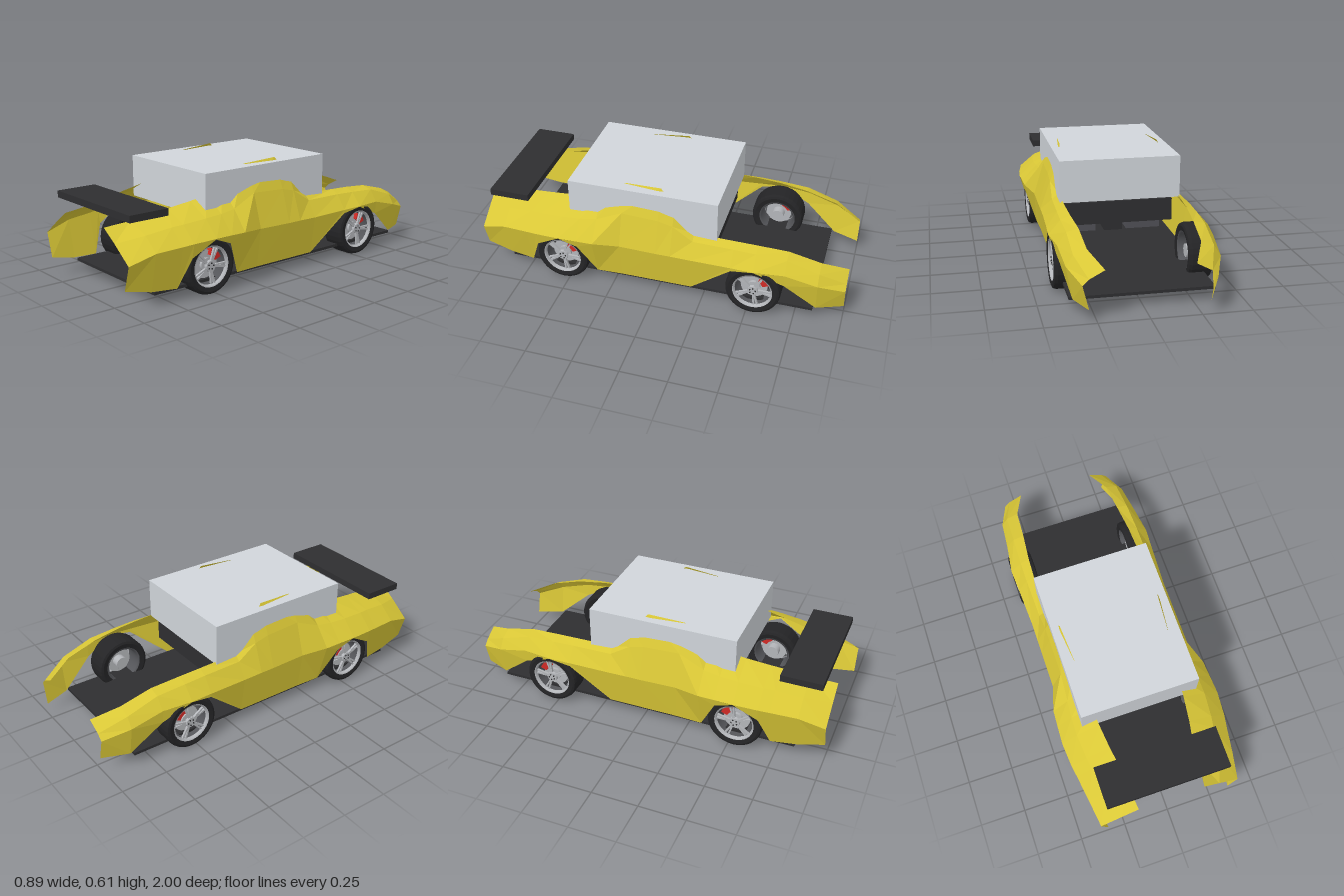
import * as THREE from 'three';

const mat = (color, flat = false, side = THREE.FrontSide) =>
  new THREE.MeshStandardMaterial({ color, flatShading: flat, side });
const M = {
  paint: mat(0xd9c736, true, THREE.DoubleSide),
  dark: mat(0x2e2e30),
  seat: mat(0x505056),
  cabin: mat(0xd0d5da),
  tyre: mat(0x242426, true),
  rim: mat(0xb4b6ba, false, THREE.DoubleSide),
  barrel: mat(0x55565a, false, THREE.DoubleSide),
  red: mat(0xd02a26),
};

function add(parent, name, geo, material, x = 0, y = 0, z = 0) {
  const m = new THREE.Mesh(geo, material);
  m.name = name;
  m.position.set(x, y, z);
  parent.add(m);
  return m;
}

// Box given by its limits on each axis
function block(parent, name, material, [x0, x1], [y0, y1], [z0, z1]) {
  return add(parent, name, new THREE.BoxGeometry(x1 - x0, y1 - y0, z1 - z0), material,
    (x0 + x1) / 2, (y0 + y1) / 2, (z0 + z1) / 2);
}

// Side panel sections: z, then x,y of the sill, ridge, shoulder and inner edge
const SECTIONS = [
  [1, .345, .11, .385, .24, .27, .325, .18, .385],
  [.86, .36, .08, .405, .28, .32, .35, .195, .397],
  [.72, .375, .07, .425, .29, .34, .37, .21, .42],
  [.66, .42, .22, .435, .295, .35, .375, .22, .43],
  [.53, .44, .295, .445, .3, .36, .385, .235, .45],
  [.43, .43, .255, .44, .298, .357, .39, .243, .468],
  [.34, .37, .07, .435, .295, .35, .4, .25, .49],
  [.2, .365, .07, .395, .28, .34, .46, .258, .6],
  [0, .365, .07, .395, .275, .34, .45, .272, .612],
  [-.08, .365, .07, .395, .275, .34, .43, .3, .52],
  [-.19, .365, .07, .395, .273, .345, .36, .31, .39],
  [-.41, .404, .26, .405, .28, .35, .36, .305, .382],
  [-.53, .411, .28, .412, .283, .35, .355, .3, .376],
  [-.69, .385, .21, .39, .28, .345, .345, .285, .36],
  [-.86, .345, .07, .375, .235, .34, .29, .275, .315],
  [-1, .29, .07, .32, .19, .29, .22, .215, .26],
];

function sidePanel(s) {
  const pos = [], idx = [];
  SECTIONS.forEach(([z, ...p], i) => {
    for (let k = 0; k < 4; k++) {
      pos.push(s * p[2 * k], p[2 * k + 1], z);
      if (!i || !k) continue;
      const d = i * 4 + k, c = d - 1, b = d - 4, a = d - 5;
      if (s > 0) idx.push(a, c, d, a, d, b);
      else idx.push(a, d, c, a, b, d);
    }
  });
  const g = new THREE.BufferGeometry();
  g.setAttribute('position', new THREE.Float32BufferAttribute(pos, 3));
  g.setIndex(idx);
  g.computeVertexNormals();
  return g;
}

const lathe = (pts, n) => new THREE.LatheGeometry(pts.map(p => new THREE.Vector2(...p)), n);

// Wheel with its outer face towards local +y, turned to face +x or -x
function wheel(s) {
  const w = new THREE.Group(), g = new THREE.Group();
  w.name = 'wheel';
  add(g, 'tyre', lathe([[.104, -.06], [.13, -.065], [.142, -.06], [.147, -.045],
    [.147, .045], [.142, .06], [.13, .065], [.104, .06], [.104, -.06]], 32), M.tyre);
  add(g, 'rimBarrel', lathe([[.096, .045], [.092, 0], [.092, -.055], [.106, -.06]], 32), M.barrel);
  add(g, 'rimLip', lathe([[.096, .04], [.098, .058], [.107, .062]], 32), M.rim);
  add(g, 'brakeDisc', new THREE.CylinderGeometry(.072, .072, .01, 28), M.rim, 0, .005, 0);
  add(g, 'axleHub', new THREE.CylinderGeometry(.035, .035, .07, 16), M.rim, 0, -.01, 0);
  add(g, 'rimHub', new THREE.CylinderGeometry(.027, .03, .014, 20), M.rim, 0, .05, 0);
  for (let i = 0; i < 5; i++) {
    const a = i * Math.PI * 2 / 5 + .2;
    // Paired spokes spreading towards the rim
    for (const t of [-1, 1]) {
      const arm = new THREE.Group();
      arm.rotation.y = a + t * .1;
      add(arm, 'spoke', new THREE.BoxGeometry(.08, .012, .009), M.rim, .058, .046, 0);
      g.add(arm);
    }
    const b = a + Math.PI / 5;
    add(g, 'wheelBolt', new THREE.CylinderGeometry(.004, .004, .006, 6), M.dark,
      Math.cos(b) * .016, .058, Math.sin(b) * .016);
  }
  g.rotation.z = -s * Math.PI / 2;
  w.add(g);
  // Brake caliper: arc segment gripping the disc
  const arc = new THREE.Shape();
  arc.absarc(0, 0, .086, .35, 1.25, false);
  arc.absarc(0, 0, .05, 1.25, .35, true);
  const cg = new THREE.ExtrudeGeometry(arc, { depth: .036, bevelEnabled: false, curveSegments: 8 });
  cg.translate(0, 0, -.018);
  cg.rotateY(Math.PI / 2);
  add(w, 'brakeCaliper', cg, M.red, s * .014, 0, 0);
  return w;
}

export function createModel() {
  const car = new THREE.Group();
  car.name = 'car';

  // Floor, cabin and wing
  block(car, 'floor', M.dark, [-.36, .36], [.06, .075], [-.845, .845]);
  block(car, 'cabin', M.cabin, [-.32, .32], [.373, .597], [-.315, .5]);
  block(car, 'wing', M.dark, [-.335, .335], [.43, .466], [.735, .955]);

  // Interior
  block(car, 'dashboard', M.dark, [-.285, .285], [.24, .36], [-.29, -.15]);
  block(car, 'centreConsole', M.dark, [-.05, .05], [.143, .215], [-.12, .2]);

  for (const s of [-1, 1]) {
    add(car, s > 0 ? 'leftSidePanel' : 'rightSidePanel', sidePanel(s), M.paint);

    const seat = new THREE.Group();
    seat.name = 'seat';
    seat.position.x = s * .182;
    block(seat, 'seatCushion', M.seat, [-.096, .096], [.125, .175], [-.06, .15]);
    block(seat, 'seatBack', M.seat, [-.092, .092], [.16, .374], [.13, .18]);
    car.add(seat);

    for (const z of [.53, -.53]) {
      const w = wheel(s);
      w.position.set(s * .34, .149, z);
      car.add(w);
    }
  }
  return car;
}
